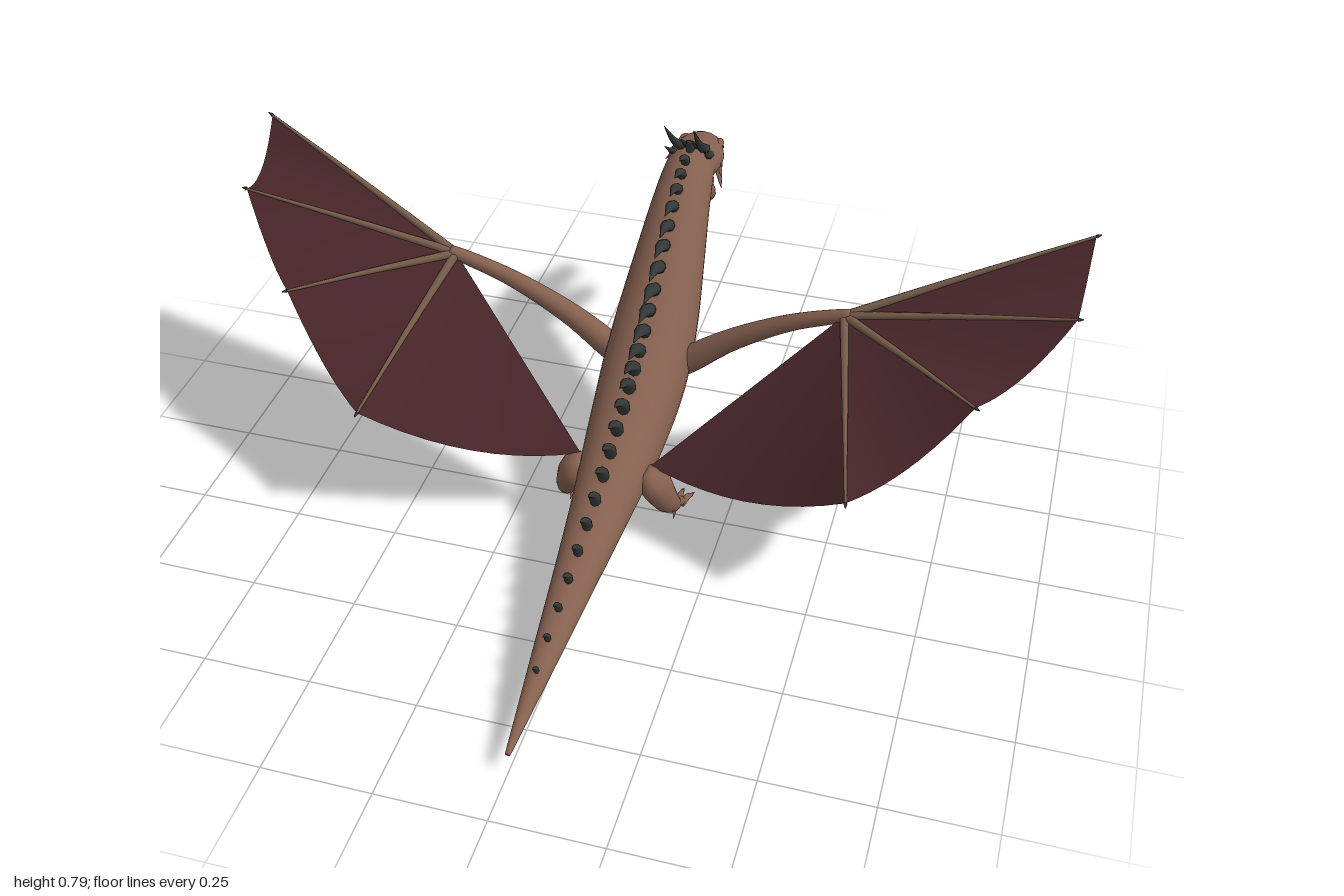
import * as THREE from 'three';

const V = (x, y, z) => new THREE.Vector3(x, y, z);
const X = V(1, 0, 0), Z = V(0, 0, 1);
const mat = (name, color, extra = {}) => {
  const m = new THREE.MeshStandardMaterial({ color, ...extra });
  m.name = name;
  return m;
};

// Curves through the centres and the radii of rows [x, y, z, sideRadius, otherRadius]
function curves(rows) {
  return {
    path: new THREE.CatmullRomCurve3(rows.map(r => V(r[0], r[1], r[2])), false, 'catmullrom'),
    size: new THREE.CatmullRomCurve3(rows.map(r => V(r[3], r[4] ?? r[3], 0)), false, 'catmullrom'),
  };
}

function frame({ path, size }, u, ref) {
  const c = path.getPoint(u), t = path.getTangent(u), r = size.getPoint(u);
  const s = ref.clone().addScaledVector(t, -ref.dot(t)).normalize();
  return { c, t, s, n: t.clone().cross(s), rw: Math.max(r.x, 0.0005), rh: Math.max(r.y, 0.0005) };
}

// Closed smooth loft of elliptical sections
function loft(rows, steps = 16, sides = 12, ref = X) {
  const cv = curves(rows), pos = [], idx = [];
  for (let i = 0; i <= steps; i++) {
    const { c, s, n, rw, rh } = frame(cv, i / steps, ref);
    for (let j = 0; j < sides; j++) {
      const a = j / sides * Math.PI * 2;
      const p = c.clone().addScaledVector(s, Math.cos(a) * rw).addScaledVector(n, Math.sin(a) * rh);
      pos.push(p.x, p.y, p.z);
    }
  }
  for (let i = 0; i < steps; i++) for (let j = 0; j < sides; j++) {
    const a = i * sides + j, b = i * sides + (j + 1) % sides;
    idx.push(a, b, a + sides, b, b + sides, a + sides);
  }
  const first = pos.length / 3, end = steps * sides;
  const a = cv.path.getPoint(0), b = cv.path.getPoint(1);
  pos.push(a.x, a.y, a.z, b.x, b.y, b.z);
  for (let j = 0; j < sides; j++) {
    const k = (j + 1) % sides;
    idx.push(first, k, j, first + 1, end + j, end + k);
  }
  const g = new THREE.BufferGeometry();
  g.setAttribute('position', new THREE.Float32BufferAttribute(pos, 3));
  g.setIndex(idx);
  g.computeVertexNormals();
  return g;
}

// Wing panel between two finger tips, sagging in the middle
function panel(w, a, b, sag) {
  const N = 10, pos = [], idx = [];
  for (let i = 0; i <= N; i++) for (let j = 0; j <= N; j++) {
    const u = i / N, v = j / N;
    const p = w.clone().lerp(a.clone().lerp(b, u), v);
    pos.push(p.x, p.y - sag * 4 * u * (1 - u) * v * v, p.z);
    if (i < N && j < N) {
      const k = i * (N + 1) + j;
      idx.push(k, k + 1, k + N + 1, k + 1, k + N + 2, k + N + 1);
    }
  }
  const g = new THREE.BufferGeometry();
  g.setAttribute('position', new THREE.Float32BufferAttribute(pos, 3));
  g.setIndex(idx);
  g.computeVertexNormals();
  return g;
}

export function createModel() {
  const root = new THREE.Group();
  const hide = mat('hide brown', 0x85604f);
  const bone = mat('wing bone brown', 0x765c49);
  const skin = mat('wing membrane maroon', 0x472529, { side: THREE.DoubleSide });
  const horn = mat('horn charcoal', 0x343938);
  const ivory = mat('tooth ivory', 0xd6cdb8);
  const dark = mat('eye black', 0x15110f);
  const add = (name, geo, m) => {
    const mesh = new THREE.Mesh(geo, m);
    mesh.name = name;
    root.add(mesh);
    return mesh;
  };
  // Tapered spike from one point to another
  const spike = (name, a, b, r, m, bow = 0) => add(name, loft([
    [...a, r], [(a[0] + b[0]) / 2, (a[1] + b[1]) / 2 - bow, (a[2] + b[2]) / 2, r * 0.6], [...b, 0.0008],
  ], 5, 7), m);

  // Tail, trunk and neck in one sweep
  const body = [
    [0, 0.055, 0.868, 0.006, 0.006], [0, 0.092, 0.6, 0.032, 0.027], [0, 0.121, 0.4, 0.051, 0.043],
    [0, 0.154, 0.2, 0.071, 0.063], [0, 0.188, 0.05, 0.088, 0.085], [0, 0.237, -0.1, 0.101, 0.103],
    [0, 0.29, -0.2, 0.105, 0.105], [0, 0.366, -0.3, 0.1, 0.097], [0, 0.46, -0.4, 0.087, 0.084],
    [0, 0.552, -0.5, 0.073, 0.069], [0, 0.605, -0.58, 0.063, 0.058], [0, 0.614, -0.64, 0.056, 0.046],
  ];
  add('body', loft(body, 60, 28), hide);

  // Head with a tapering snout, and the open lower jaw
  add('head', loft([
    [0, 0.61, -0.56, 0.04, 0.04], [0, 0.612, -0.62, 0.064, 0.052], [0, 0.607, -0.67, 0.068, 0.048],
    [0, 0.598, -0.72, 0.054, 0.043], [0, 0.572, -0.77, 0.039, 0.028], [0, 0.549, -0.82, 0.029, 0.02],
    [0, 0.537, -0.855, 0.022, 0.016], [0, 0.532, -0.87, 0.008, 0.007],
  ], 30, 20), hide);
  add('lowerJaw', loft([
    [0, 0.57, -0.59, 0.045, 0.03], [0, 0.52, -0.645, 0.055, 0.036], [0, 0.476, -0.7, 0.042, 0.025],
    [0, 0.443, -0.755, 0.028, 0.018], [0, 0.426, -0.79, 0.018, 0.012], [0, 0.422, -0.803, 0.005, 0.004],
  ], 22, 16), hide);

  // Row of spines along the back, leaning towards the tail
  const bodyCurves = curves(body);
  const count = 25;
  for (let i = 0; i < count; i++) {
    const f = i / (count - 1), z = -0.6 + 1.27 * (0.45 * f + 0.55 * f * f);
    let lo = 0, hi = 1;
    for (let k = 0; k < 20; k++) {
      const m = (lo + hi) / 2;
      if (bodyCurves.path.getPoint(m).z > z) lo = m; else hi = m;
    }
    const { c, t, n, rh } = frame(bodyCurves, lo, X);
    if (n.y < 0) n.negate();
    const h = 0.06 + 0.045 * Math.sin(Math.PI * f) - 0.025 * f;
    const at = (up, back) => c.clone().addScaledVector(n, rh + up * h).addScaledVector(t, -back * h).toArray();
    add('backSpine', loft([
      [...at(-0.15, 0), 0.14 * h, 0.2 * h], [...at(0.3, 0.1), 0.2 * h, 0.17 * h],
      [...at(0.65, 0.32), 0.11 * h, 0.09 * h], [...at(0.95, 0.65), 0.001],
    ], 8, 8), horn);
  }

  for (const s of [1, -1]) {
    // Horns, crest, cheek spikes and throat barbs
    spike('horn', [s * 0.027, 0.645, -0.635], [s * 0.036, 0.79, -0.47], 0.015, horn, 0.012);
    spike('sideHorn', [s * 0.042, 0.635, -0.63], [s * 0.05, 0.7, -0.53], 0.012, horn, 0.006);
    spike('crestHorn', [s * 0.012, 0.65, -0.64], [s * 0.014, 0.715, -0.55], 0.012, horn, 0.006);
    for (let k = 0; k < 3; k++) {
      spike('cheekSpike', [s * 0.055, 0.61 - k * 0.025, -0.675], [s * 0.073, 0.605 - k * 0.03, -0.63], 0.008, hide);
      spike('throatBarb', [s * 0.04, 0.5 - k * 0.06, -0.52 + k * 0.06], [s * 0.046, 0.48 - k * 0.06, -0.585 + k * 0.07], 0.006, hide);
    }

    // Brow, eye and nostril
    add('brow', loft([[s * 0.05, 0.625, -0.68, 0.008], [s * 0.045, 0.622, -0.72, 0.011], [s * 0.034, 0.6, -0.755, 0.004]], 8, 8), hide);
    const eye = add('eye', new THREE.SphereGeometry(0.009, 12, 8), dark);
    eye.position.set(s * 0.046, 0.606, -0.725);
    const nostril = add('nostril', new THREE.SphereGeometry(0.004, 8, 6), dark);
    nostril.position.set(s * 0.015, 0.548, -0.85);

    // Teeth along both jaws
    for (let k = 0; k < 7; k++) {
      const f = k / 6, len = k % 2 ? 0.018 : 0.026;
      const ux = s * (0.036 - 0.02 * f), uy = 0.558 - 0.03 * f, uz = -0.735 - 0.122 * f;
      spike('upperTooth', [ux, uy, uz], [ux, uy - len - 0.008, uz + 0.003], 0.0045, ivory);
      const lx = s * (0.034 - 0.021 * f), ly = 0.49 - 0.058 * f, lz = -0.705 - 0.088 * f;
      spike('lowerTooth', [lx, ly, lz], [lx, ly + len + 0.006, lz - 0.006], 0.0045, ivory);
    }

    // Wing arm from shoulder to wrist
    const P = (x, y, z) => V(s * x, y, z);
    const wrist = P(0.47, 0.535, -0.18);
    add('wingArm', loft([
      [s * 0.06, 0.27, -0.225, 0.02, 0.02], [s * 0.09, 0.295, -0.225, 0.031, 0.034], [s * 0.2, 0.385, -0.218, 0.026, 0.028],
      [s * 0.34, 0.475, -0.2, 0.019, 0.021], [s * 0.47, 0.535, -0.18, 0.015, 0.016], [s * 0.485, 0.54, -0.178, 0.006, 0.006],
    ], 24, 14, Z), hide);

    // Fingers and the membrane stretched between them
    const tips = [P(0.99, 0.75, -0.328), P(0.98, 0.655, -0.135), P(0.8, 0.525, 0.065), P(0.565, 0.352, 0.248), P(0.085, 0.205, 0.075)];
    const sag = [0.045, 0.035, 0.035, 0.052];
    for (let k = 0; k < 4; k++) {
      const tip = tips[k], mid = wrist.clone().lerp(tip, 0.5);
      add('wingFinger', loft([
        [...wrist.toArray(), 0.011], [mid.x, mid.y + 0.003, mid.z, 0.007], [...tip.toArray(), 0.003],
      ], 10, 8, Z), bone);
      const out = tip.clone().sub(wrist).normalize().multiplyScalar(0.012).add(tip);
      add('fingerClaw', loft([[...tip.toArray(), 0.005], [...out.toArray(), 0.001]], 3, 6, Z), horn);
      add('wingMembrane', panel(wrist, tip, tips[k + 1], sag[k]), skin);
    }

    // Hind leg, toes and claws
    add('hindLeg', loft([
      [s * 0.07, 0.195, 0.085, 0.02, 0.025], [s * 0.095, 0.17, 0.085, 0.036, 0.045], [s * 0.118, 0.115, 0.07, 0.029, 0.037],
      [s * 0.13, 0.068, 0.035, 0.02, 0.023], [s * 0.127, 0.035, -0.005, 0.016, 0.016], [s * 0.126, 0.018, -0.035, 0.02, 0.011],
      [s * 0.126, 0.013, -0.045, 0.008, 0.006],
    ], 24, 14), hide);
    for (const d of [-1, 0, 1]) {
      const x = 0.126 + d * 0.012, x2 = 0.126 + d * 0.024, z = -0.07 - (d ? 0 : 0.008);
      add('toe', loft([[s * x, 0.016, -0.025, 0.009], [s * (x + x2) / 2, 0.016, -0.052, 0.008], [s * x2, 0.01, z, 0.005]], 8, 8), hide);
      spike('toeClaw', [s * x2, 0.01, z + 0.003], [s * (x2 + d * 0.004), 0.002, z - 0.02], 0.005, bone, -0.002);
    }
    spike('heelClaw', [s * 0.128, 0.03, 0.0], [s * 0.13, 0.008, 0.024], 0.007, hide);
  }
  return root;
}
